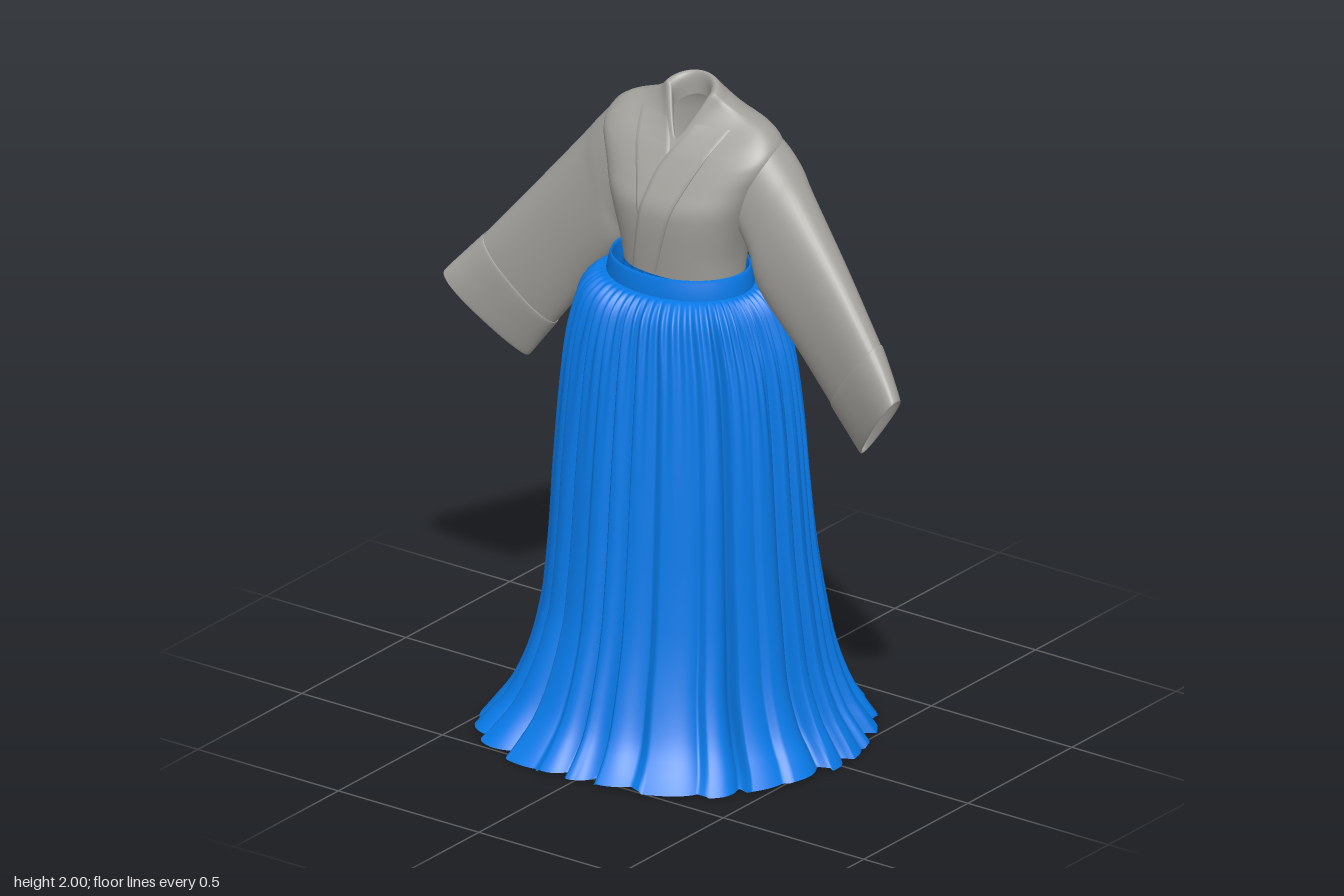
import * as THREE from 'three';

const gray = new THREE.MeshStandardMaterial({ color: 0xa4a29d, side: THREE.DoubleSide });
gray.name = 'jacketGray';
const blue = new THREE.MeshStandardMaterial({ color: 0x087bea, side: THREE.DoubleSide });
blue.name = 'skirtBlue';

const V = (x, y, z) => new THREE.Vector3(x, y, z);
const { lerp, clamp } = THREE.MathUtils;
const spow = (v, e) => Math.sign(v) * Math.abs(v) ** e;

// Smooth skin through rows of points; closed rows wrap around
function loft(rows, closed = true) {
  const n = rows[0].length, pos = [], index = [];
  rows.forEach(r => r.forEach(p => pos.push(p.x, p.y, p.z)));
  for (let i = 0; i < rows.length - 1; i++) {
    for (let j = 0; j < (closed ? n : n - 1); j++) {
      const a = i * n + j, b = i * n + (j + 1) % n;
      index.push(a, b, b + n, a, b + n, a + n);
    }
  }
  const g = new THREE.BufferGeometry();
  g.setAttribute('position', new THREE.Float32BufferAttribute(pos, 3));
  g.setIndex(index);
  g.computeVertexNormals();
  return g;
}

// Smoothly resample a table of numeric rows
function resample(table, count) {
  const at = (i, k) => table[clamp(i, 0, table.length - 1)][k];
  return Array.from({ length: count }, (_, s) => {
    const f = s / (count - 1) * (table.length - 1), i = Math.min(Math.floor(f), table.length - 2), t = f - i;
    return table[0].map((_, k) => {
      const a = at(i, k), b = at(i + 1, k), m0 = (b - at(i - 1, k)) / 2, m1 = (at(i + 2, k) - a) / 2;
      return a + m0 * t + (3 * (b - a) - 2 * m0 - m1) * t * t + (2 * (a - b) + m0 + m1) * t * t * t;
    });
  });
}

function mesh(name, geometry, material) {
  const m = new THREE.Mesh(geometry, material);
  m.name = name;
  return m;
}

// Torso: halfWidth, frontZ, frontY, backZ, backY, sideY, vNeck, roundness
const torsoTable = [
  [.185, .14, 1.44, -.12, 1.44, 1.44, 0, .85],
  [.192, .15, 1.51, -.13, 1.51, 1.51, 0, .82],
  [.213, .16, 1.60, -.15, 1.60, 1.60, 0, .78],
  [.235, .158, 1.66, -.163, 1.67, 1.67, 0, .78],
  [.262, .133, 1.715, -.17, 1.74, 1.74, 0, .78],
  [.288, .108, 1.76, -.17, 1.80, 1.80, 0, .78],
  [.286, .092, 1.785, -.168, 1.845, 1.85, 0, .78],
  [.24, .08, 1.805, -.16, 1.885, 1.892, .05, .8],
  [.168, .07, 1.82, -.14, 1.925, 1.918, .3, .95],
  [.115, .062, 1.83, -.115, 1.965, 1.945, .65, 1],
  [.084, .055, 1.838, -.085, 2.0, 1.972, .95, 1],
  [.062, .05, 1.83, -.075, 1.985, 1.955, 1, 1],
  [.06, .045, 1.79, -.076, 1.93, 1.90, .9, 1],
];

function torsoGeometry() {
  const n = 72;
  return loft(resample(torsoTable, 61).map(([hw, zf, yf, zb, yb, ys, v, e]) =>
    Array.from({ length: n }, (_, j) => {
      const a = j / n * Math.PI * 2, c = Math.cos(a), s = Math.sin(a);
      const mid = (zf + zb) / 2, half = (zf - zb) / 2;
      let x = hw * spow(s, e);
      if (c > 0) x = lerp(x, hw * Math.sign(s) * (1 - c), v * .8); // front narrows to a V
      return V(x, ys + (c > 0 ? (yf - ys) * c : (yb - ys) * -c), mid + half * spow(c, e));
    })));
}

// Lapel band laid on the chest, fading in at the shoulder; path rows are y, innerX, outerX
function lapel(name, torso, path, lift) {
  const ray = new THREE.Raycaster();
  const zAt = (x, y) => {
    ray.set(V(x, y, 1), V(0, 0, -1));
    const hit = ray.intersectObject(torso)[0];
    return hit && hit.point.z > -.03 ? hit.point.z : .03;
  };
  const rows = resample(path, 24).map(([y, x0, x1], i) =>
    Array.from({ length: 12 }, (_, j) => {
      const x = lerp(x0, x1, clamp((j - 1) / 9, 0, 1));
      return V(x, y, zAt(x, y) + (j === 0 || j === 11 ? -.002 : lift * Math.min(1, i / 4)));
    }));
  return mesh(name, loft(rows, false), gray);
}

// Sleeve: top xyz, bottom xyz, half thickness at top and bottom
const sleeveTable = [
  [.20, 1.868, -.058, .18, 1.61, -.02, .09, .08],
  [.262, 1.866, -.058, .21, 1.565, -.02, .095, .085],
  [.33, 1.800, -.058, .236, 1.50, -.025, .098, .085],
  [.39, 1.725, -.047, .262, 1.40, -.03, .09, .08],
  [.54, 1.543, -.016, .385, 1.245, -.038, .076, .062],
  [.70, 1.35, .026, .50, 1.10, -.04, .062, .047],
];
const cuffTable = [
  [.695, 1.356, .025, .495, 1.106, -.04, .061, .046],
  [.70, 1.353, .026, .498, 1.098, -.04, .067, .051],
  [.75, 1.295, .048, .545, 1.038, -.041, .06, .044],
  [.80, 1.235, .074, .59, .98, -.041, .053, .032],
  [.79, 1.235, .072, .592, .992, -.04, .048, .027],
  [.745, 1.285, .046, .55, 1.045, -.04, .05, .03],
];

function tubeFrom(table, count, side) {
  const n = 48;
  return loft(resample(table, count).map(([tx, ty, tz, bx, by, bz, ht, hb]) =>
    Array.from({ length: n }, (_, j) => {
      const a = j / n * Math.PI * 2, k = (1 - spow(Math.cos(a), .85)) / 2;
      return V(side * lerp(tx, bx, k), lerp(ty, by, k), lerp(tz, bz, k) + lerp(ht, hb, k) * spow(Math.sin(a), .85));
    })));
}

// Skirt: y, halfWidth, frontZ, backZ, pleat depth, gather depth
const skirtTable = [
  [1.407, .225, .205, -.145, 0, .015],
  [1.40, .262, .243, -.17, .02, .05],
  [1.36, .302, .283, -.205, .04, .055],
  [1.29, .33, .304, -.235, .07, .04],
  [1.18, .357, .318, -.258, .09, .02],
  [1.0, .378, .334, -.281, .1, .008],
  [.8, .392, .35, -.3, .105, 0],
  [.6, .404, .366, -.328, .11, 0],
  [.4, .423, .39, -.37, .125, 0],
  [.25, .443, .423, -.416, .14, 0],
  [.13, .482, .462, -.465, .14, 0],
  [.05, .528, .51, -.514, .12, 0],
  [.004, .555, .55, -.55, .1, 0],
];

// Uneven spread of the hem: centre angle in degrees, amount
const spreads = [[318, .11], [218, .05], [45, .025], [157, -.03]];

function skirtGeometry() {
  const n = 540, pleats = 27;
  const fold = p => (p < .82 ? (p / .82) ** 3 : (1 - p) / .18);
  return loft(resample(skirtTable, 49).map(([y, hw, zf, zb, depth, gather]) =>
    Array.from({ length: n }, (_, j) => {
      const a = j / n * Math.PI * 2;
      const f = (a / (Math.PI * 2) + .012 * Math.sin(3 * a + 1) + .006 * Math.sin(7 * a) + 1) * pleats;
      const k = Math.floor(f) % pleats;
      const strength = .6 + .4 * Math.sin(k * 2.4 + 1);
      const g = .5 + .5 * Math.sin(a * 60 + 2 * Math.sin(5 * a));
      const spread = clamp(1 - y / .4, 0, 1) * spreads.reduce((sum, [deg, amount]) =>
        sum + amount * Math.exp(-(((a * 180 / Math.PI - deg) / 25) ** 2)), 0);
      const r = 1 + spread - depth * strength * fold(f - Math.floor(f)) - gather * g;
      const hem = y < .1 ? (.006 + .006 * Math.sin(k * 1.7)) * (1 - y / .1) : 0;
      return V(hw * r * Math.sin(a), Math.max(0, y + hem), (zf + zb) / 2 + (zf - zb) / 2 * r * Math.cos(a));
    })));
}

// Waistband: y, halfWidth, frontZ, backZ, with a folded-in top edge
function waistbandGeometry() {
  const table = [[1.395, .226, .205, -.146], [1.41, .23, .209, -.149], [1.455, .22, .203, -.143],
    [1.466, .215, .199, -.139], [1.455, .21, .194, -.134], [1.40, .214, .196, -.136]];
  return loft(table.map(([y, hw, zf, zb]) => Array.from({ length: 72 }, (_, j) => {
    const a = j / 72 * Math.PI * 2;
    return V(hw * Math.sin(a), y, (zf + zb) / 2 + (zf - zb) / 2 * Math.cos(a));
  })));
}

export function createModel() {
  const model = new THREE.Group();
  model.name = 'robeAndSkirt';

  const jacket = new THREE.Group();
  jacket.name = 'jacket';
  const torso = mesh('torso', torsoGeometry(), gray);
  jacket.add(torso);
  jacket.add(lapel('underLapel', torso,
    [[1.885, -.05, -.16], [1.80, .0, -.12], [1.70, .0, -.075], [1.61, -.03, -.05]], .005));
  jacket.add(lapel('overLapel', torso,
    [[1.885, .05, .155], [1.78, -.015, .11], [1.68, -.04, .07], [1.56, -.065, .03], [1.45, -.09, -.005]], .009));

  for (const [label, side] of [['left', 1], ['right', -1]]) {
    jacket.add(mesh(label + 'Sleeve', tubeFrom(sleeveTable, 36, side), gray));
    jacket.add(mesh(label + 'Cuff', tubeFrom(cuffTable, 26, side), gray));
  }

  const skirt = new THREE.Group();
  skirt.name = 'skirt';
  skirt.add(mesh('pleatedSkirt', skirtGeometry(), blue), mesh('waistband', waistbandGeometry(), blue));

  model.add(jacket, skirt);
  return model;
}
